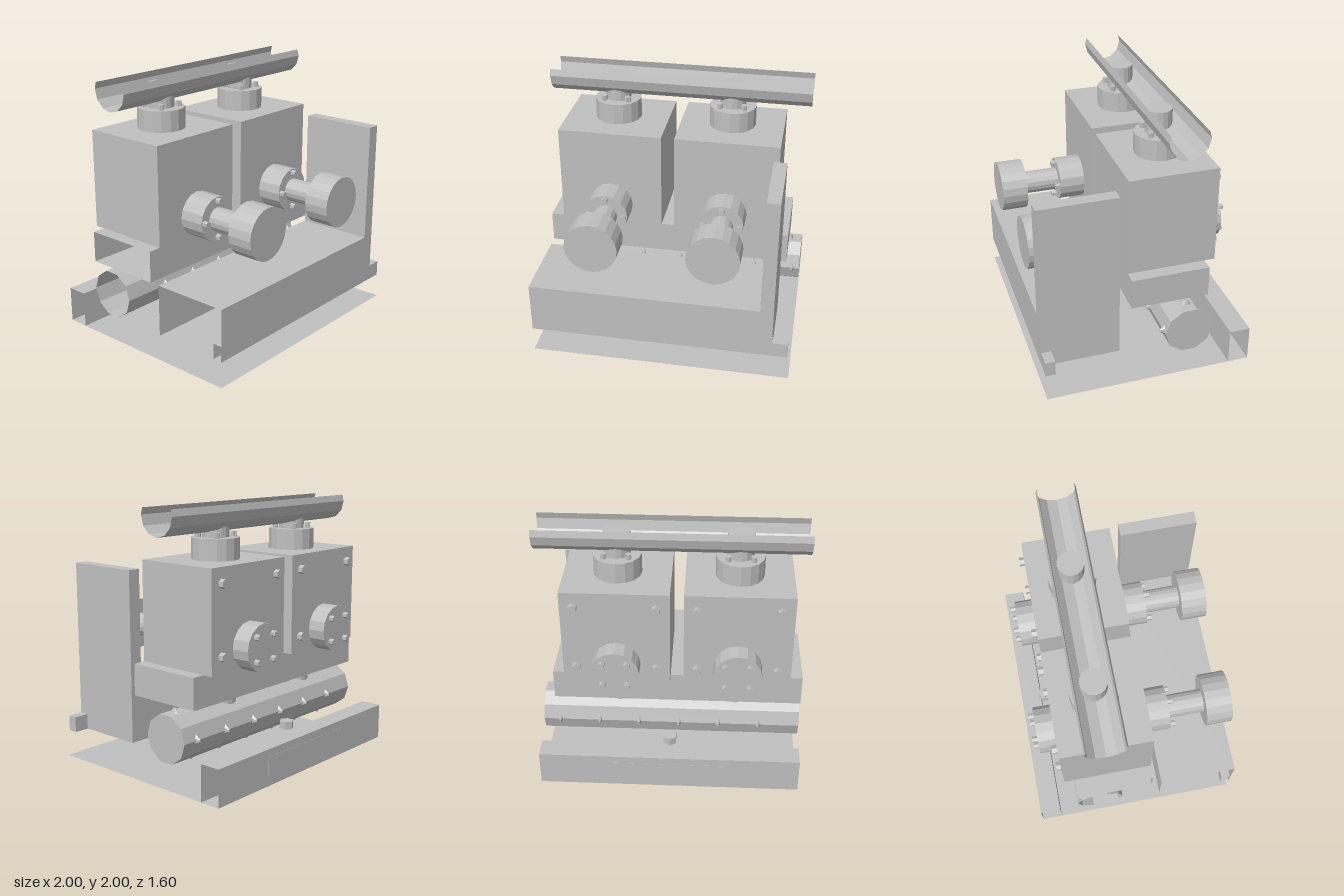
import * as THREE from 'three';

export function createModel() {
  const model = new THREE.Group();
  const metal = new THREE.MeshStandardMaterial({ color: 0xc0c0c0, flatShading: true, side: THREE.DoubleSide });
  metal.name = 'grey metal';

  const add = (geo, name, parent = model) => {
    const mesh = new THREE.Mesh(geo, metal);
    mesh.name = name;
    parent.add(mesh);
    return mesh;
  };

  // Box from its limits; open lists the faces left out (0 +x, 1 -x, 2 +y, 3 -y, 4 +z, 5 -z)
  const box = (name, [x0, x1], [y0, y1], [z0, z1], open = []) => {
    const g = new THREE.BoxGeometry(x1 - x0, y1 - y0, z1 - z0);
    g.translate((x0 + x1) / 2, (y0 + y1) / 2, (z0 + z1) / 2);
    const all = Array.from(g.index.array);
    g.setIndex(all.filter((_, i) => !open.includes(Math.floor(i / 6))));
    g.clearGroups();
    return add(g, name);
  };

  // Cylinder from a to b along one axis; c holds the centre on all axes
  const rod = (name, axis, c, r, a, b, sides = 16) => {
    const g = new THREE.CylinderGeometry(r, r, b - a, sides);
    if (axis === 'x') g.rotateZ(-Math.PI / 2);
    if (axis === 'z') g.rotateX(Math.PI / 2);
    const p = new THREE.Vector3(...c);
    p[axis] = (a + b) / 2;
    g.translate(p.x, p.y, p.z);
    return add(g, name);
  };

  // Four hex bolts around a flange
  const boltRing = (name, axis, c, radius, turn, a, b) => {
    for (let i = 0; i < 4; i++) {
      const t = turn + i * Math.PI / 2;
      const u = radius * Math.cos(t), v = radius * Math.sin(t);
      const p = axis === 'y' ? [c[0] + u, 0, c[2] + v] : [c[0] + u, c[1] + v, 0];
      rod(name, axis, p, 0.024, a, b, 6);
    }
  };

  // Base sheet, rear beam with name plate and loose hex bolt
  const sheet = new THREE.PlaneGeometry(2, 1.6).rotateX(Math.PI / 2);
  add(sheet, 'baseSheet');
  box('rearBeam', [-1, 1], [0, 0.28], [-0.8, -0.64], [0, 1, 3]);
  box('rearPlate', [-0.46, 0.46], [0.08, 0.22], [-0.802, -0.78]);
  rod('beamBolt', 'y', [0, 0, -0.6], 0.055, 0.285, 0.345, 6);

  // Front block with upright wall and foot tabs
  box('frontBlock', [-1, 0.86], [0.2, 0.6], [0.2, 0.8], [1]);
  box('sideWall', [0.76, 0.86], [0.6, 1.52], [0.2, 0.8], [3]);
  box('footTab', [0.86, 0.98], [0.2, 0.32], [0.725, 0.8]);
  box('footTab', [-1, -0.68], [0.2, 0.32], [0.725, 0.795], [1]);

  // Saddle plate under the chambers
  box('saddlePlate', [-1, 0.9], [0.6, 0.84], [-0.48, 0.12], [1]);

  // Two chambers, each with flanges on top, front and back
  for (const x of [-0.5, 0.4]) {
    box('chamber', [x - 0.4, x + 0.4], [0.84, 1.6], [-0.56, 0.12]);
    for (const dx of [-0.3, 0.3])
      for (const y of [0.965, 1.485]) rod('chamberBolt', 'z', [x + dx, y, 0], 0.034, -0.6, -0.56, 6);

    rod('rearFlange', 'z', [x, 1, 0], 0.18, -0.7, -0.56);
    boltRing('rearFlangeBolt', 'z', [x, 1, 0], 0.13, Math.PI / 4, -0.74, -0.7);

    rod('frontFlange', 'z', [x, 1, 0], 0.17, 0.12, 0.32);
    boltRing('frontFlangeBolt', 'z', [x, 1, 0], 0.14, 0, 0.32, 0.36);
    rod('frontShaft', 'z', [x, 1, 0], 0.09, 0.32, 0.6);
    rod('frontWheel', 'z', [x, 1, 0], 0.2, 0.6, 0.8, 20);

    rod('topFlange', 'y', [x, 0, -0.235], 0.18, 1.6, 1.76);
    boltRing('topFlangeBolt', 'y', [x, 0, -0.235], 0.13, Math.PI / 4, 1.76, 1.8);
    rod('topNeck', 'y', [x, 0, -0.235], 0.1, 1.76, 1.94);

    rod('lowerNeck', 'y', [x, 0, -0.295], 0.105, 0.5, 0.6);
  }

  // Open trough along the top: half of a twelve-sided tube with short lips
  const section = [[-0.137, 2]];
  for (let i = 0; i <= 6; i++) {
    const t = Math.PI + i * Math.PI / 6;
    section.push([0.15 * Math.cos(t), 1.95 + 0.15 * Math.sin(t)]);
  }
  section.push([0.137, 2]);
  const pos = [], idx = [];
  section.forEach(([z, y], i) => {
    pos.push(-1, y, z - 0.24, 1, y, z - 0.24);
    const k = i * 2;
    if (i) idx.push(k - 2, k, k - 1, k - 1, k, k + 1);
  });
  const trough = new THREE.BufferGeometry();
  trough.setAttribute('position', new THREE.Float32BufferAttribute(pos, 3));
  trough.setIndex(idx);
  trough.computeVertexNormals();
  add(trough, 'topTrough');

  // Lower ten-sided pipe, closed on its left end only
  const pipe = new THREE.CylinderGeometry(0.185, 0.185, 2, 10, 1, true).rotateZ(-Math.PI / 2);
  add(pipe, 'lowerPipe').position.set(0, 0.38, -0.3);
  const cap = new THREE.CircleGeometry(0.185, 10).rotateY(Math.PI / 2);
  add(cap, 'lowerPipeCap').position.set(1, 0.38, -0.3);

  // Four rows of small pointed studs on the pipe: top, front, bottom, back
  [-0.64, -0.61, -0.8, -0.68].forEach((start, row) => {
    const studs = new THREE.Group();
    studs.name = 'studRow';
    studs.position.set(0, 0.38, -0.3);
    studs.rotation.x = row * Math.PI / 2;
    for (let i = 0; i < 6; i++) {
      const stud = new THREE.CylinderGeometry(0.012, 0.05, 0.05, 6);
      stud.scale(0.55, 1, 1);
      add(stud, 'stud', studs).position.set(start + i * 0.31, 0.187, 0);
    }
    model.add(studs);
  });

  return model;
}
